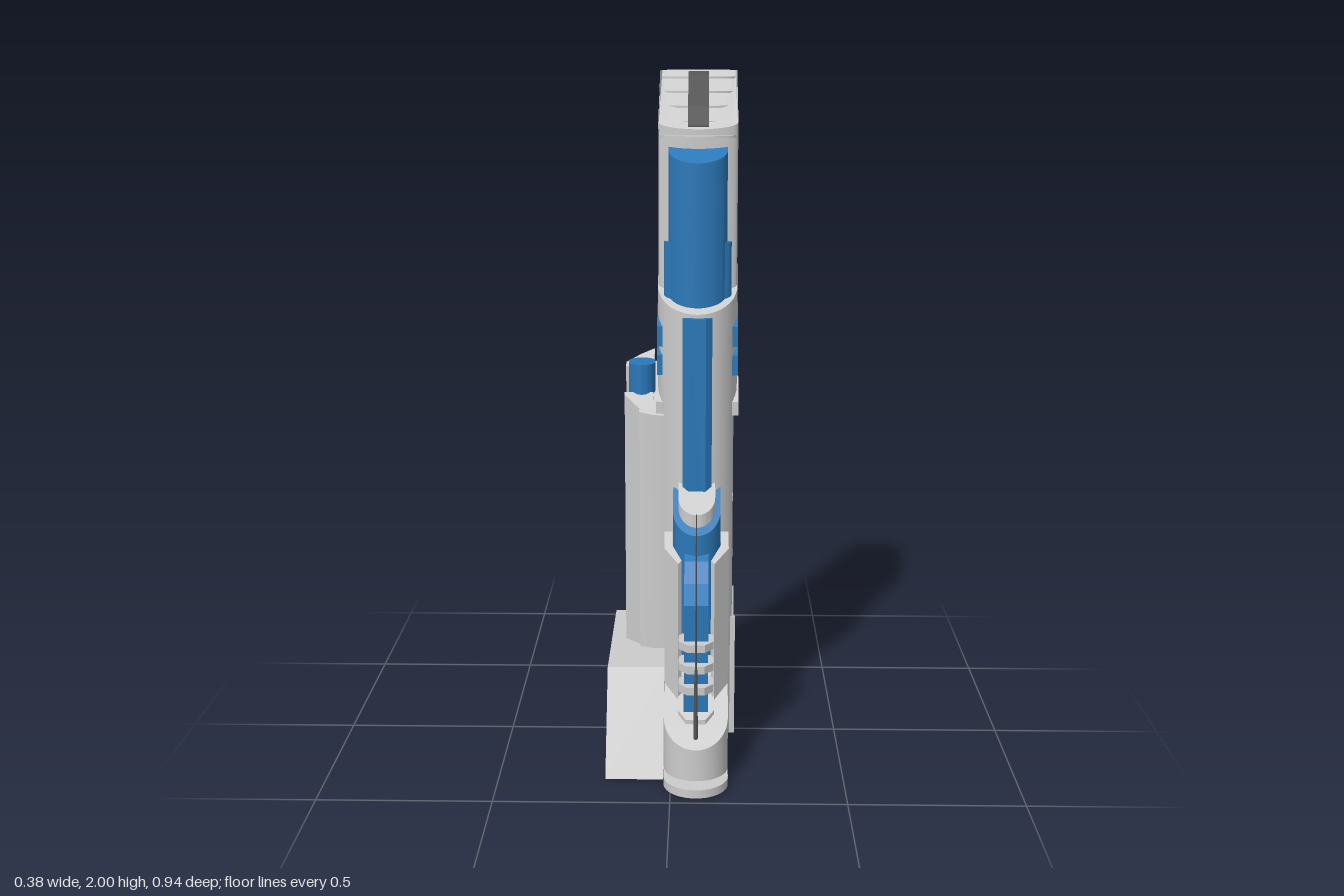
import * as THREE from 'three';
import { toCreasedNormals } from 'three/addons/utils/BufferGeometryUtils.js';

const GREY = new THREE.MeshStandardMaterial({ color: 0xcccccc, side: THREE.DoubleSide });
const BLUE = new THREE.MeshStandardMaterial({ color: 0x2a78b8, side: THREE.DoubleSide });
const DARK = new THREE.MeshStandardMaterial({ color: 0x555555 });
const AXIS = 0.072; // x of the tower's own centre line

const at = (v, z) => (typeof v === 'function' ? v(z) : v);
// straight slope through two (z, y) points
const slope = (z0, y0, z1, y1) => (z) => y0 + ((z - z0) / (z1 - z0)) * (y1 - y0);
const toShape = (pts) => new THREE.Shape(pts.map(([a, b]) => new THREE.Vector2(a, b)));

function add(parent, name, geo, mat) {
  const m = new THREE.Mesh(geo, mat);
  m.name = name;
  parent.add(m);
  return m;
}

// plan outline [x, z] raised between a lower and an upper height, each may slope along z
function prism(parent, name, plan, low, high, mat = GREY) {
  const geo = new THREE.ExtrudeGeometry(toShape(plan.map(([x, z]) => [x, -z])), { depth: 1, bevelEnabled: false });
  geo.rotateX(-Math.PI / 2);
  const p = geo.attributes.position;
  for (let i = 0; i < p.count; i++) {
    const z = p.getZ(i), t = p.getY(i);
    p.setY(i, at(low, z) * (1 - t) + at(high, z) * t);
  }
  return add(parent, name, toCreasedNormals(geo, 0.5), mat);
}

// side outline [z, y] extruded from x0 to x1
function slab(parent, name, outline, x0, x1, mat = GREY) {
  const geo = new THREE.ExtrudeGeometry(toShape(outline.map(([z, y]) => [-z, y])), { depth: x1 - x0, bevelEnabled: false });
  geo.rotateY(Math.PI / 2).translate(x0, 0, 0);
  return add(parent, name, geo, mat);
}
function slabPair(parent, name, outline, x0, x1, mat) {
  slab(parent, name + 'Left', outline, x0, x1, mat);
  slab(parent, name + 'Right', outline, -x1, -x0, mat);
}
const rect = (z0, z1, y0, y1) => [[z0, y0], [z1, y0], [z1, y1], [z0, y1]];

// plan with elliptical caps at the back and front (cap depth 0 = flat)
function capsule(hw, zBack, zFront, capBack, capFront) {
  const pts = [], n = 20;
  const cap = (z, depth, s) => {
    for (let i = 0; i <= (depth ? n : 1); i++) {
      const a = (i / (depth ? n : 1)) * Math.PI;
      pts.push([s * hw * Math.cos(a), z + s * depth * Math.sin(a)]);
    }
  };
  cap(zFront - capFront, capFront, 1);
  cap(zBack + capBack, capBack, -1);
  return pts;
}

// ring sector around the rear of the tower; angles measured from straight back
function sector(s, a0, a1, rIn, rOut, zc) {
  const pts = [], n = 8;
  for (let i = 0; i <= n; i++) {
    const a = a0 + ((a1 - a0) * i) / n;
    pts.push([s * rOut * Math.sin(a), zc - rOut * Math.cos(a)]);
  }
  for (let i = n; i >= 0; i--) {
    const a = a0 + ((a1 - a0) * i) / n;
    pts.push([s * rIn * Math.sin(a), zc - rIn * Math.cos(a)]);
  }
  return pts;
}

function rod(parent, name, x, z, y0, y1, r0, r1) {
  const m = add(parent, name, new THREE.CylinderGeometry(r1, r0, y1 - y0, 8), DARK);
  m.position.set(x, (y0 + y1) / 2, z);
}

function buildTower(g) {
  // blue core and pilasters
  prism(g, 'core', capsule(0.098, -0.328, 0.04, 0.098, 0.03), 0.03, 1.52, BLUE);
  for (const [z0, z1, hw] of [[-0.11, -0.07, 0.104], [-0.2, -0.13, 0.11], [-0.222, -0.2, 0.106]])
    slabPair(g, 'pilaster', rect(z0, z1, 0.06, 1.17), 0.08, hw, BLUE);

  // front shell, shoulders and base
  const bodyTop = slope(0.09, 1.32, -0.03, 1.39);
  const cap = capsule(0.117, -0.03, 0.09, 0, 0.117);
  const frontCap = cap.map(([x, z]) => [THREE.MathUtils.clamp(x, -0.107, 0.107), Math.max(z, 0.02)]);
  prism(g, 'frontShell', frontCap, 0, bodyTop);
  prism(g, 'shoulder', capsule(0.117, -0.165, 0.088, 0, 0.117), slope(0.03, 1.03, -0.15, 1.15), bodyTop);
  slabPair(g, 'shoulderTrim', [[0.03, 1.01], [-0.16, 1.13], [-0.16, 1.17], [0.03, 1.05]], 0.09, 0.122);
  slabPair(g, 'shoulderHook', [[-0.14, 1.15], [-0.14, 1.23], [-0.21, 1.23], [-0.26, 1.18],
    [-0.27, 1.21], [-0.2, 1.3], [-0.17, 1.34], [-0.16, 1.4], [-0.1, 1.4], [-0.1, 1.15]], 0.085, 0.118);
  for (const y of [1.13, 1.215])
    slabPair(g, 'window', [[0.03, y], [-0.08, y + 0.065], [-0.08, y + 0.13 - 0.06], [-0.08, y + 0.075], [0.03, y + 0.01]]
      .map(([z, v], i) => [z, i > 1 ? v + 0.05 : v]), 0.1, 0.1185, BLUE);
  prism(g, 'baseRear', capsule(0.117, -0.43, -0.222, 0.117, 0), 0, slope(-0.24, 0.38, -0.425, 0.26));
  prism(g, 'baseFloor', capsule(0.117, -0.23, 0.02, 0, 0), 0, 0.06);
  slabPair(g, 'baseCheek', [[0.03, 0], [0.03, 0.38], [0.02, 0.38], [-0.02, 0.33], [-0.02, 0.13], [-0.07, 0.06], [-0.07, 0]], 0.085, 0.117);
  for (const y of [0.09, 0.17, 0.25])
    slabPair(g, 'baseClip', rect(-0.228, -0.13, y, y + 0.022), 0.09, 0.119);

  // rear spine strips and side brackets
  for (const s of [1, -1]) {
    prism(g, 'spineStrip', sector(s, 0.05, 0.75, 0.085, 0.13, -0.245), 0.56, 1.52);
    prism(g, 'spineRail', sector(s, 0.9, 1.2, 0.085, 0.121, -0.245), 0.7, 1.5);
  }
  slabPair(g, 'bracket', [[-0.22, 0.62], [-0.22, 0.69], [-0.3, 0.79], [-0.3, 1.47], [-0.315, 1.48],
    [-0.33, 0.74], [-0.25, 0.64], [-0.25, 0.38], [-0.22, 0.38]], 0.08, 0.112);

  // upper shell with blue front insert and side slots
  prism(g, 'upperShell', capsule(0.115, -0.37, 0, 0.115, 0.03), slope(-0.365, 1.53, -0.16, 1.4), (z) => Math.min(2, slope(0, 1.84, -0.25, 2)(z)));
  prism(g, 'frontInsert', capsule(0.085, -0.05, 0.065, 0, 0.06), 1.25, slope(0.063, 1.75, 0, 1.785), BLUE);
  slabPair(g, 'slot', rect(-0.24, -0.225, 1.42, 1.655), 0.1, 0.118, BLUE);

  // roof louvres on either side of a channel
  for (let i = 0; i < 5; i++) {
    const z = 0.028 - i * 0.06, y = 1.816 + i * 0.04;
    prism(g, 'louvre', capsule(0.11, z - 0.11, z, 0, 0.05), y, y + 0.006);
  }
  slab(g, 'roofChannel', [[-0.01, 1.85], [-0.07, 1.903], [-0.2, 1.987], [-0.265, 1.998], [-0.265, 1.97], [-0.01, 1.81]], -0.03, 0.03, DARK);
}

function buildFront(g) {
  // narrow ridge, nose and stepped blue tier
  prism(g, 'ridge', [[-0.043, 0.05], [-0.043, 0.09], [-0.025, 0.106], [0.025, 0.106], [0.043, 0.09], [0.043, 0.05]], 0.7, 1.31, BLUE);
  prism(g, 'tier', capsule(0.07, 0, 0.2, 0, 0.07), 0, slope(0.2, 0.69, 0.08, 0.79), BLUE);
  prism(g, 'nose', capsule(0.054, 0.04, 0.178, 0, 0.054), 0.6, slope(0.18, 0.745, 0.08, 0.815));
  slabPair(g, 'tierFoot', rect(0.06, 0.18, 0, 0.24), 0.05, 0.082, BLUE);
  for (let i = 0; i < 7; i++)
    slabPair(g, 'slat', rect(0.075, 0.17, 0.065 + i * 0.027, 0.077 + i * 0.027), 0.06, 0.088);

  // angled grey side fins
  for (const s of [1, -1])
    prism(g, 'sideFin', [[0.093, 0.17], [0.093, 0.225], [0.052, 0.275], [0.042, 0.265], [0.07, 0.215], [0.07, 0.17]].map(([x, z]) => [s * x, z]),
      0, slope(0.17, 0.695, 0.26, 0.64));

  // blue fin with clips
  slab(g, 'frontFin', [[0.18, 0.15], [0.32, 0.17], [0.32, 0.52], [0.26, 0.565], [0.22, 0.62], [0.18, 0.64]], -0.035, 0.035, BLUE);
  for (const y of [0.26, 0.325, 0.39])
    prism(g, 'finClip', [[-0.05, 0.26], [-0.05, 0.32], [-0.025, 0.35], [0.025, 0.35], [0.05, 0.32], [0.05, 0.26]], y, y + 0.023);

  // rounded podium with foot plate and fin socket
  prism(g, 'podium', capsule(0.093, 0.17, 0.415, 0, 0.093), 0, slope(0.415, 0.12, 0.22, 0.25));
  prism(g, 'footPlate', capsule(0.093, 0.3, 0.472, 0, 0.093), 0, 0.025);
  prism(g, 'finSocket', [[-0.052, 0.2], [-0.052, 0.315], [-0.028, 0.343], [0.028, 0.343], [0.052, 0.315], [0.052, 0.2]], 0.1, slope(0.345, 0.18, 0.2, 0.27));
}

// annex on the tower's right side, in world x
function buildAnnex(g) {
  prism(g, 'annexBody', [[0, -0.245], [-0.045, -0.245], [-0.1, -0.21], [-0.1, 0.022], [-0.06, 0.037], [0, 0.04]], 0.1, slope(0.04, 1.01, -0.24, 1.12));
  prism(g, 'annexRearFlange', [[-0.06, -0.215], [-0.1, -0.195], [-0.146, -0.165], [-0.146, -0.15], [-0.06, -0.15]], 0.2, slope(-0.15, 1.12, -0.21, 1.16));
  prism(g, 'annexFrontFlange', [[-0.06, -0.055], [-0.146, -0.055], [-0.146, -0.045], [-0.1, 0.005], [-0.06, 0.01]], 0.2, slope(0.01, 1.02, -0.055, 1.06));
  const column = capsule(0.04, -0.16, -0.045, 0.045, 0.045).map(([x, z]) => [x - 0.095, z]);
  prism(g, 'annexColumn', column, 0.2, 1.145, BLUE);

  // layered block with a ramp at its front
  slab(g, 'annexRoof', [[-0.305, 0.17], [-0.305, 0.26], [-0.29, 0.28], [0.19, 0.28], [0.355, 0], [0.28, 0], [0.16, 0.17]], -0.19, -0.022);
  slab(g, 'annexCore', [[-0.28, 0.06], [-0.28, 0.19], [0.16, 0.19], [0.22, 0.06]], -0.165, 0, BLUE);
  slab(g, 'annexLedge', [[-0.32, 0.11], [-0.32, 0.18], [0.1, 0.18], [0.14, 0.13], [0.1, 0.13], [0.08, 0.15], [-0.1, 0.15], [-0.12, 0.11]], -0.178, -0.02);
  slab(g, 'annexFoot', [[-0.32, 0], [-0.32, 0.07], [0.1, 0.07], [0.17, 0.03], [0.17, 0]], -0.175, 0);
}

function buildAntennas(g) {
  for (const [x, z, y0, yMid, y1] of [[0, 0.38, 0.12, 0.35, 0.81], [0.025, -0.442, 0, 0.28, 0.65], [-0.023, -0.466, 0, 0.28, 0.78]]) {
    rod(g, 'antennaFoot', x, z, y0, yMid, 0.007, 0.004);
    rod(g, 'antennaMast', x, z, yMid, y1, 0.003, 0.0012);
  }
  // cables hanging between the spine and the rear masts
  for (const [x, z, y, sag] of [[0.025, -0.442, 0.5, 0.45], [-0.023, -0.466, 0.6, 0.47], [-0.023, -0.466, 0.7, 0.54]]) {
    const curve = new THREE.QuadraticBezierCurve3(new THREE.Vector3(0, 0.575, -0.37), new THREE.Vector3(x * 0.7, sag - 0.05, -0.435), new THREE.Vector3(x, y, z));
    add(g, 'cable', new THREE.TubeGeometry(curve, 16, 0.0016, 5), DARK);
  }
  add(g, 'cableSocket', new THREE.BoxGeometry(0.022, 0.03, 0.02), DARK).position.set(0, 0.575, -0.372);
}

export function createModel() {
  const model = new THREE.Group();
  model.name = 'skyscraper';
  for (const [name, build, x] of [['tower', buildTower, AXIS], ['frontTiers', buildFront, AXIS], ['annex', buildAnnex, 0], ['antennas', buildAntennas, AXIS]]) {
    const g = new THREE.Group();
    g.name = name;
    g.position.x = x;
    build(g);
    model.add(g);
  }
  return model;
}
